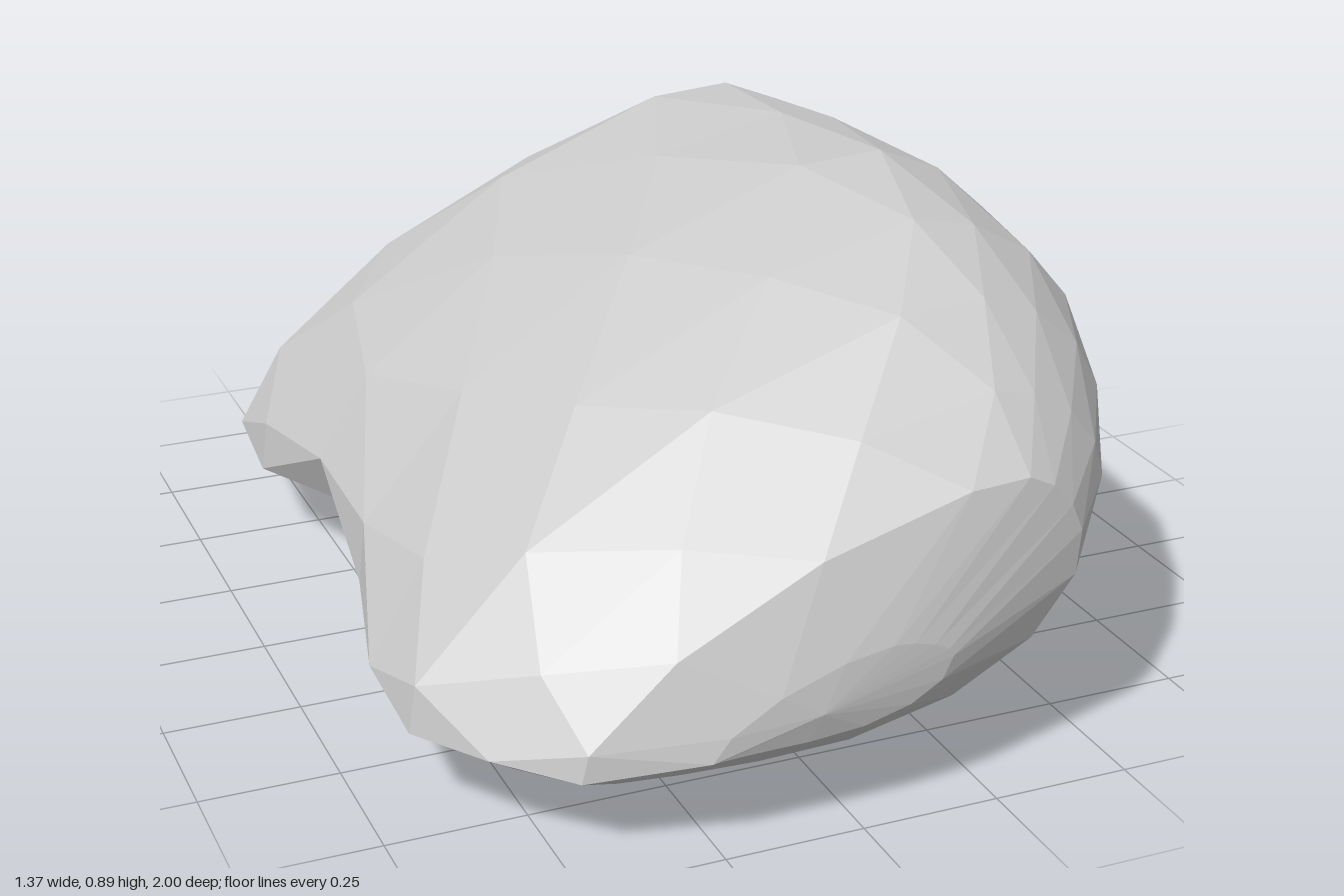
import * as THREE from 'three';

// Cross-sections from back to front: z, then the x,y of the right rim, top, left rim and bottom
const SECTIONS = [
  [-0.96, 0.18, 0.31, 0.02, 0.39, -0.28, 0.21, -0.05, 0.18],
  [-0.86, 0.41, 0.43, 0.18, 0.55, -0.45, 0.17, -0.05, 0.13],
  [-0.71, 0.56, 0.52, 0.29, 0.72, -0.60, 0.16, -0.03, 0.09],
  [-0.46, 0.645, 0.59, 0.34, 0.86, -0.635, 0.18, 0.0, 0.05],
  [-0.13, 0.68, 0.62, 0.36, 0.885, -0.59, 0.31, 0.0, 0.02],
  [0.2, 0.69, 0.60, 0.35, 0.905, -0.63, 0.25, -0.02, 0.0],
  [0.48, 0.675, 0.58, 0.33, 0.86, -0.685, 0.19, -0.02, 0.02],
  [0.67, 0.61, 0.54, 0.32, 0.78, -0.69, 0.175, -0.05, 0.06],
  [0.82, 0.53, 0.48, 0.31, 0.67, -0.59, 0.165, -0.08, 0.1],
  [0.93, 0.43, 0.42, 0.3, 0.56, -0.48, 0.16, -0.1, 0.13],
  [0.99, 0.16, 0.29, 0.05, 0.33, -0.27, 0.18, -0.1, 0.185],
];
const POWERS = [1.1, 1.35, 1.1, 1.0]; // how flat each quarter of the outline is
const SIDES = 16;

// Point on a section, u running 0..1 counter-clockwise from the right rim
function outline(s, u) {
  const t = (u % 1) * 4;
  const q = Math.floor(t);
  const f = (t - q) * Math.PI / 2;
  const p = POWERS[q];
  const at = (k) => [s[1 + (k % 4) * 2], s[2 + (k % 4) * 2]];
  const [ax, ay] = at(q), [bx, by] = at(q + 1);
  const c = Math.pow(Math.max(0, Math.cos(f)), p);
  const d = Math.pow(Math.max(0, Math.sin(f)), p);
  // Even quarters run from a side rim to top or bottom, odd ones the other way
  const wx = q % 2 === 0 ? 1 - c : d;
  const wy = q % 2 === 0 ? d : 1 - c;
  return [ax + (bx - ax) * wx, ay + (by - ay) * wy, s[0]];
}

function rockGeometry() {
  const pos = [], idx = [];
  // Alternate rings are turned half a step for triangular facets
  SECTIONS.forEach((s, i) => {
    for (let j = 0; j < SIDES; j++) pos.push(...outline(s, (j + (i % 2) * 0.5) / SIDES));
  });
  const id = (i, j) => i * SIDES + (j % SIDES);
  const last = SECTIONS.length - 1;
  const back = pos.length / 3, front = back + 1;
  pos.push(-0.02, 0.26, -1, -0.08, 0.235, 1);
  for (let j = 0; j < SIDES; j++) {
    for (let i = 0; i < last; i++) {
      const a = id(i, j), b = id(i, j + 1), c = id(i + 1, j), d = id(i + 1, j + 1);
      if (i % 2 === 0) idx.push(a, b, c, b, d, c);
      else idx.push(a, b, d, a, d, c);
    }
    idx.push(back, id(0, j + 1), id(0, j), front, id(last, j), id(last, j + 1));
  }
  const g = new THREE.BufferGeometry();
  g.setAttribute('position', new THREE.Float32BufferAttribute(pos, 3));
  g.setIndex(idx);
  const flat = g.toNonIndexed();
  flat.computeVertexNormals();
  return flat;
}

export function createModel() {
  const group = new THREE.Group();
  group.name = 'boulder';
  // Tilted stone with a dent in its low side
  const rock = new THREE.Mesh(
    rockGeometry(),
    new THREE.MeshStandardMaterial({ color: 0xcccccc, flatShading: true }),
  );
  rock.name = 'rock';
  group.add(rock);
  return group;
}
